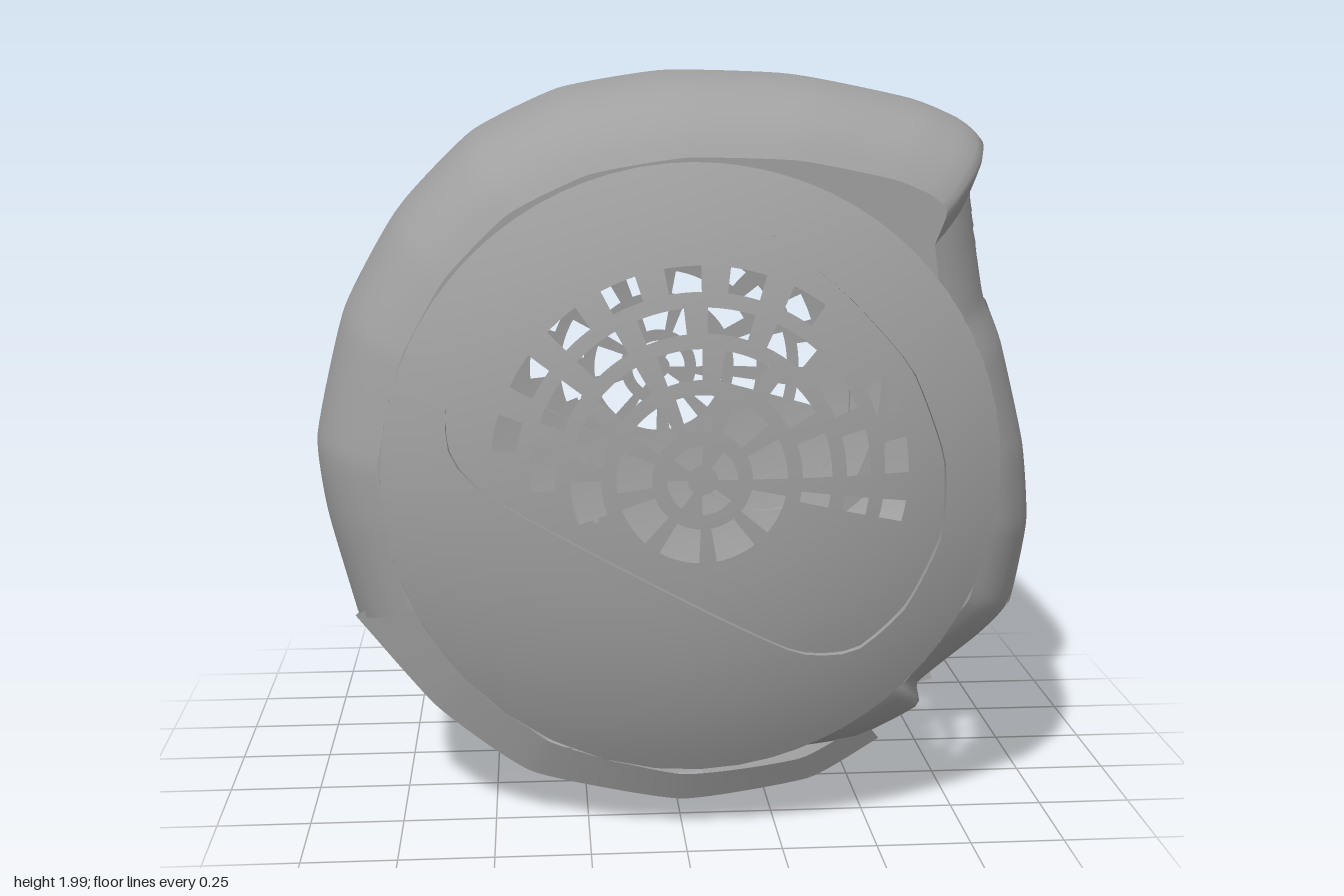
import * as THREE from 'three';

const shellGrey = new THREE.MeshStandardMaterial({ color: 0xa0a0a0, side: THREE.DoubleSide });
shellGrey.name = 'shell grey';

const curve = (pts, closed = false) =>
  new THREE.CatmullRomCurve3(pts.map(([x, y]) => new THREE.Vector3(x, y, 0)), closed, 'catmullrom', 0.25);

// Grid surface from point(u, v); cells whose middle satisfies skip() are left open
function surface(name, point, nu, nv, skip = () => false) {
  const pos = [], idx = [], w = nv + 1;
  for (let i = 0; i <= nu; i++)
    for (let j = 0; j <= nv; j++) pos.push(...point(i / nu, j / nv));
  for (let i = 0; i < nu; i++)
    for (let j = 0; j < nv; j++) {
      const a = i * w + j, b = a + w;
      const mid = [0, 1, 2].map((k) => (pos[a * 3 + k] + pos[a * 3 + 3 + k] + pos[b * 3 + k] + pos[b * 3 + 3 + k]) / 4);
      if (!skip(...mid)) idx.push(a, a + 1, b, b, a + 1, b + 1);
    }
  const g = new THREE.BufferGeometry();
  g.setAttribute('position', new THREE.Float32BufferAttribute(pos, 3));
  g.setIndex(idx);
  g.computeVertexNormals();
  const m = new THREE.Mesh(g, shellGrey);
  m.name = name;
  return m;
}

// Side-on profile swept across the width, rounding in towards both sides
const HALF = 0.67, SAMPLES = 120;
function sweep(profile, offset = 0) {
  const pts = profile.getSpacedPoints(SAMPLES);
  return (u, v) => {
    const p = pts[Math.round(u * SAMPLES)];
    const z = (1 - v * 2) * HALF;
    const s = Math.pow(1 - Math.pow(Math.abs(z) / 0.74, 4), 0.2);
    return [p.x * s + offset, 1 + (p.y - 1) * s, z];
  };
}

// Flat flange from the swept edge in behind the side cover
const flange = (name, body, v0) => surface(name, (u, v) => {
  const [x, y, z] = body(u, v0), r = Math.hypot(x, y - 1);
  const k = 1 + v * (Math.min(1, 0.75 / r) - 1);
  return [x * k, 1 + (y - 1) * k, z];
}, SAMPLES, 1);

// Regular polygon windows: 1 on the edge, less inside
function polygonRatio(z, y, [cz, cy, r, turn]) {
  const step = (2 * Math.PI) / 5;
  const a = Math.atan2(y - cy, z - cz) - turn;
  const k = a - step * Math.round(a / step);
  return (Math.hypot(z - cz, y - cy) * Math.cos(k)) / (r * Math.cos(step / 2));
}

// Pull grid points near a window onto its edge so that it cuts cleanly
const snapTo = (windows, body) => (u, v) => {
  let [x, y, z] = body(u, v);
  for (const w of windows) {
    const q = polygonRatio(z, y, w), band = 0.011 / w[2];
    if (x * body(0.5, 0.5)[0] >= 0 && Math.abs(q - 1) < band) {
      z = w[0] + (z - w[0]) / q;
      y = w[1] + (y - w[1]) / q;
    }
  }
  return [x, y, z];
};

function roundedRect(z, y, hz, hy, r) {
  const dz = Math.max(Math.abs(z) - hz + r, 0), dy = Math.max(Math.abs(y) - hy + r, 0);
  return Math.hypot(dz, dy) < r;
}

// Domed side cover with a teardrop opening
const CX = 0.02, CY = 1.0, R = 0.79;
const dome = (x, y) => 0.842 - 0.157 * Math.pow(Math.hypot(x - CX, y - CY) / R, 2.6);

const opening = curve([
  [-0.6, 1.19], [-0.51, 1.38], [-0.3, 1.55], [0, 1.63], [0.2, 1.62], [0.4, 1.46], [0.56, 1.28],
  [0.65, 1.05], [0.65, 0.85], [0.56, 0.66], [0.43, 0.55], [0.27, 0.56], [-0.12, 0.77], [-0.5, 0.98], [-0.59, 1.07],
], true).getSpacedPoints(72);
const openingAt = (u) => opening[Math.round(u * 72)];

function insideOpening(x, y) {
  let inside = false;
  for (let i = 0, j = 71; i < 72; j = i++) {
    const a = opening[i], b = opening[j];
    if ((a.y > y) !== (b.y > y) && x < ((b.x - a.x) * (y - a.y)) / (b.y - a.y) + a.x) inside = !inside;
  }
  return inside;
}

// Grille of ring-shaped rows of slots, clipped by the opening
function grille() {
  const gx = 0.03, gy = 1.02, reach = 0.675;
  // Inner radius, outer radius, count, open share
  const rings = [
    [0.0375, 0.0875, 4, 0.6], [0.125, 0.2125, 9, 0.7], [0.25, 0.325, 12, 0.7],
    [0.3625, 0.425, 15, 0.7], [0.4625, 0.525, 20, 0.6],
  ];
  const limits = Array.from({ length: 181 }, (_, i) => {
    const a = (i / 180) * 2 * Math.PI;
    let lo = 0, hi = reach;
    for (let k = 0; k < 14; k++) {
      const m = (lo + hi) / 2;
      if (insideOpening(gx + m * Math.cos(a), gy + m * Math.sin(a))) lo = m; else hi = m;
    }
    return lo;
  });
  const point = (u, v) => {
    const a = u * 2 * Math.PI, r = Math.min(v * reach, limits[Math.round(u * 180)]);
    const x = gx + r * Math.cos(a), y = gy + r * Math.sin(a);
    return [x, y, dome(x, y) - 0.02];
  };
  const slot = (x, y) => {
    const r = Math.hypot(x - gx, y - gy);
    const turn = (Math.atan2(y - gy, x - gx) / (2 * Math.PI) + 1) % 1;
    return rings.some(([r0, r1, n, share]) => {
      const k = Math.floor(turn * n), a = ((k + share / 2) / n) * 2 * Math.PI;
      if (r < r0 || r > r1 || turn * n - k > share) return false;
      if (r0 > 0.24 && turn > 0.78 && turn < 0.96) return false;
      return [-1, 1].every((s) => {
        const b = a + (s * share * Math.PI) / n;
        return insideOpening(gx + r1 * 1.1 * Math.cos(b), gy + r1 * 1.1 * Math.sin(b));
      });
    });
  };
  return surface('grille', (u, v) => point(u, 1 - v), 180, 54, slot);
}

function sideCover() {
  const group = new THREE.Group();
  group.name = 'sideCover';
  group.add(surface('domedRing', (u, v) => {
    const p = openingAt(u), a = Math.atan2(p.y - CY, p.x - CX), k = 1 - v;
    const x = p.x + (CX + R * Math.cos(a) - p.x) * k, y = p.y + (CY + R * Math.sin(a) - p.y) * k;
    return [x, y, dome(x, y)];
  }, 72, 10));
  group.add(surface('openingWall', (u, v) => {
    const p = openingAt(u);
    return [p.x, p.y, dome(p.x, p.y) - 0.04 * v];
  }, 72, 1));
  group.add(surface('outerRim', (u, v) => {
    const a = u * 2 * Math.PI;
    return [CX + R * Math.cos(a), CY + R * Math.sin(a), 0.685 - 0.02 * v];
  }, 72, 1));
  group.add(grille());
  return group;
}

export function createModel() {
  const model = new THREE.Group();
  model.name = 'roundedPod';

  // Upper and rear shell with the lip above the face and a small rear window
  const shell = sweep(curve([
    [0.78, 1.72], [0.82, 1.83], [0.77, 1.88], [0.65, 1.93], [0.35, 1.99], [0, 2], [-0.3, 1.95], [-0.55, 1.83],
    [-0.75, 1.63], [-0.89, 1.38], [-0.97, 1.05], [-0.95, 0.85], [-0.88, 0.57],
  ]));
  const rearWindow = [0.04, 0.98, 0.09, 0.3];
  model.add(surface('outerShell', shell, SAMPLES, 60, (x, y, z) => x < -0.8 && polygonRatio(z, y, rearWindow) < 1));

  // Face with three windows and a lower slot, and a slightly raised lid over it
  const facePath = curve([
    [0.2, 0.14], [0.5, 0.18], [0.68, 0.27], [0.68, 0.34], [0.85, 0.48], [0.93, 0.57], [0.97, 0.8], [0.95, 1.02],
    [0.88, 1.3], [0.83, 1.43], [0.8, 1.6], [0.78, 1.74], [0.76, 1.84],
  ]);
  const face = sweep(facePath);
  const windows = [[0.35, 1.59, 0.12, 0.4], [-0.35, 1.59, 0.12, 0.9], [0, 1.59, 0.07, 0.2]];
  model.add(surface('face', snapTo(windows, face), SAMPLES, 88, (x, y, z) =>
    windows.some((w) => polygonRatio(z, y, w) < 1) || roundedRect(z, y - 0.41, 0.45, 0.07, 0.02)));
  model.add(surface('faceLid', sweep(facePath, 0.004), SAMPLES, 88,
    (x, y, z) => !roundedRect(z, y - 0.985, 0.58, 0.415, 0.16)));

  for (const v of [0, 1]) model.add(flange('shellFlange', shell, v), flange('faceFlange', face, v));

  // Broken slats behind the lower slot
  for (let i = 0; i < 7; i++) {
    const slat = new THREE.Mesh(new THREE.BoxGeometry(0.06, 0.1, 0.05), shellGrey);
    slat.name = 'slotSlat';
    slat.position.set(0.66, 0.385, -0.39 + i * 0.13);
    slat.rotation.set(i % 2 ? 0.5 : -0.4, 0.4, 0.2);
    model.add(slat);
  }

  // Bottom skid: slotted underside and upright side walls, deeper at the rear
  const belly = curve([[-0.86, 0.55], [-0.65, 0.29], [-0.4, 0.1], [0, 0.01], [0.35, 0.06], [0.54, 0.17]]).getSpacedPoints(80);
  const bellyAt = (u) => belly[Math.round(u * 80)];
  model.add(surface('bottomSkid', (u, v) => {
    const p = bellyAt(u), z = (1 - v * 2) * 0.52;
    return [p.x, p.y + 0.05 * (Math.abs(z) / 0.52) ** 3, z];
  }, 80, 52, (x, y, z) => x > -0.42 && x < 0.08 && Math.abs(z) < 0.38 && (z + 0.38) % 0.1 < 0.055));
  for (const side of [-1, 1])
    model.add(surface('skidWall', (u, v) => {
      const p = bellyAt(u), k = 1 - (0.08 + 0.1 * (1 - u) ** 2) * v;
      return [p.x * k, 1 + (p.y - 0.95) * k, side * (0.52 + 0.04 * v)];
    }, 80, 1));

  // Matching covers on both sides
  const cover = sideCover();
  const mirrored = cover.clone();
  mirrored.scale.z = -1;
  model.add(cover, mirrored);
  return model;
}
